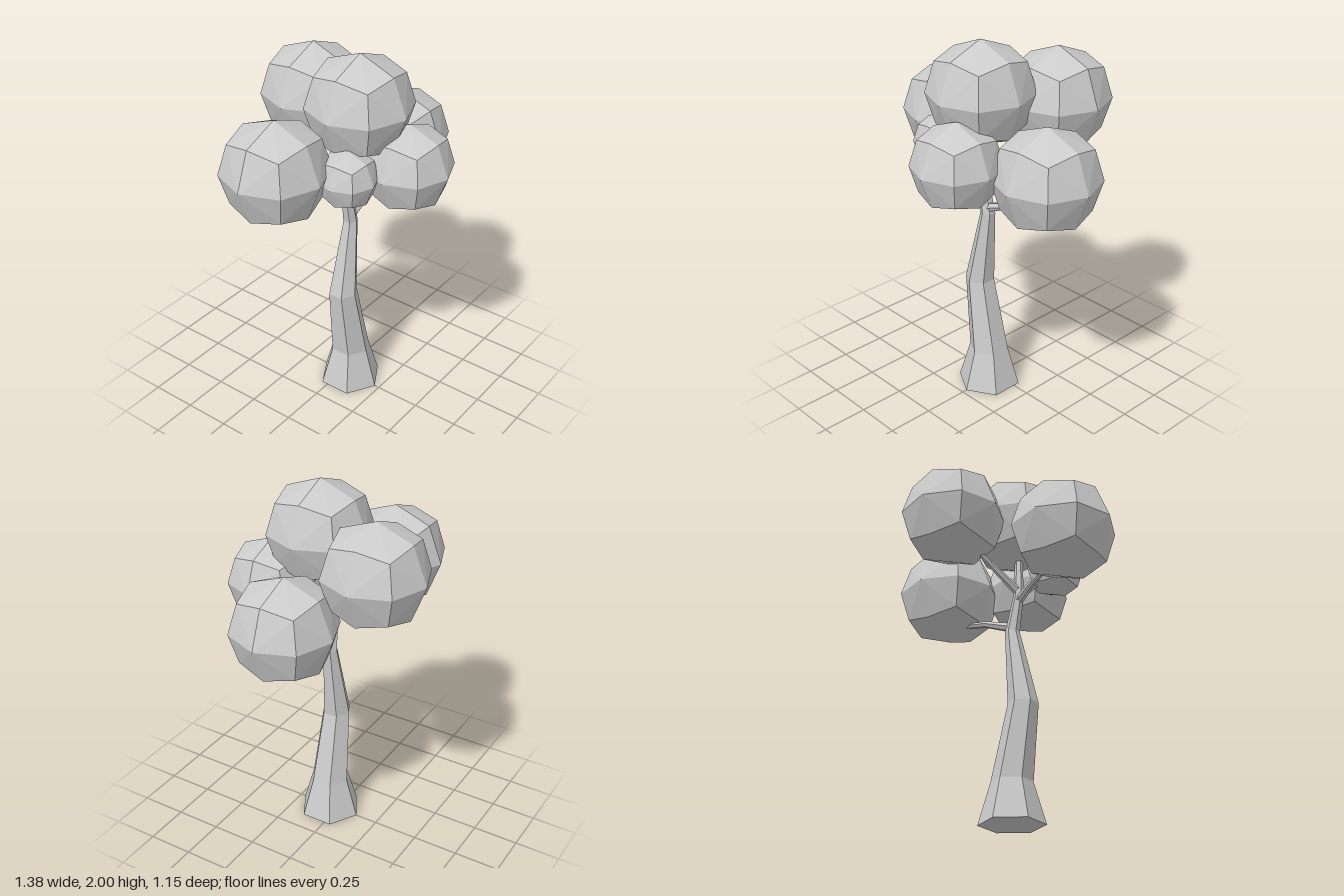
import * as THREE from 'three';
import { ConvexGeometry } from 'three/addons/geometries/ConvexGeometry.js';

const material = new THREE.MeshStandardMaterial({ color: 0xcccccc, flatShading: true });

function addMesh(group, geometry, name) {
  const mesh = new THREE.Mesh(geometry, material);
  mesh.name = name;
  group.add(mesh);
  return mesh;
}

// Six-sided limb through rings [x, y, z, radius], all square to one axis
function limb(rings, axis, sides = 6) {
  const turn = new THREE.Quaternion().setFromUnitVectors(new THREE.Vector3(0, 1, 0), axis);
  const corner = ([x, y, z, r], i) => {
    const a = (i / sides) * Math.PI * 2;
    return new THREE.Vector3(Math.sin(a) * r, 0, Math.cos(a) * r)
      .applyQuaternion(turn).add(new THREE.Vector3(x, y, z));
  };
  const points = [];
  const first = rings[0], last = rings[rings.length - 1];
  for (let i = 0; i < sides; i++) {
    for (let k = 0; k < rings.length - 1; k++) {
      const a = corner(rings[k], i), b = corner(rings[k], i + 1);
      const c = corner(rings[k + 1], i + 1), d = corner(rings[k + 1], i);
      points.push(a, b, c, a, c, d);
    }
    points.push(new THREE.Vector3(...first), corner(first, i + 1), corner(first, i));
    points.push(new THREE.Vector3(...last), corner(last, i), corner(last, i + 1));
  }
  const geometry = new THREE.BufferGeometry().setFromPoints(points);
  geometry.computeVertexNormals();
  return geometry;
}

// Ball made from a cube with 2 x 2 panels per side, rounded out
function foliageBall() {
  const reach = [0, 1, 0.72, 0.59];
  const points = [];
  for (const x of [-1, 0, 1]) for (const y of [-1, 0, 1]) for (const z of [-1, 0, 1]) {
    const n = Math.abs(x) + Math.abs(y) + Math.abs(z);
    if (n) points.push(new THREE.Vector3(x, y, z).multiplyScalar(reach[n]));
  }
  return new ConvexGeometry(points);
}

export function createModel() {
  const tree = new THREE.Group();
  tree.name = 'tree';

  // Bent trunk, flared at the foot and running up into the top ball
  addMesh(tree, limb([
    [0, 0, 0.05, 0.173],
    [0, 0.22, 0.05, 0.109],
    [-0.07, 0.63, 0.05, 0.08],
    [-0.005, 1.05, 0.05, 0.04],
    [-0.045, 1.26, 0.05, 0.028],
    [-0.03, 1.55, 0.08, 0.02],
  ], new THREE.Vector3(0, 1, 0)), 'trunk');

  // Branches reaching into the other balls
  const branches = {
    rightBranch: [[-0.045, 1.23, 0.05, 0.024], [-0.14, 1.285, 0.02, 0.018], [-0.3, 1.33, -0.05, 0.014]],
    leftBranch: [[0, 1.08, 0.05, 0.026], [0.17, 1.145, 0.05, 0.018], [0.33, 1.17, 0.05, 0.014]],
    backBranch: [[-0.04, 1.29, 0.04, 0.024], [0.03, 1.4, -0.08, 0.018], [0.1, 1.52, -0.22, 0.014]],
    frontBranch: [[-0.035, 1.25, 0.06, 0.024], [0.02, 1.31, 0.15, 0.018], [0.07, 1.38, 0.27, 0.014]],
    smallBranch: [[-0.045, 1.26, 0.06, 0.02], [-0.11, 1.33, 0.11, 0.016], [-0.17, 1.39, 0.16, 0.012]],
  };
  for (const [name, rings] of Object.entries(branches)) {
    const axis = new THREE.Vector3(...rings[2]).sub(new THREE.Vector3(...rings[0])).normalize();
    addMesh(tree, limb(rings, axis), name);
  }

  // Foliage balls: x, y, z, radius
  const ball = foliageBall();
  const balls = {
    topFoliage: [0, 1.725, 0.1, 0.275],
    backFoliage: [0.145, 1.64, -0.3, 0.275],
    rightFoliage: [-0.42, 1.477, -0.097, 0.275],
    leftFoliage: [0.415, 1.375, 0.05, 0.275],
    frontFoliage: [0.085, 1.428, 0.34, 0.232],
    smallFoliage: [-0.2, 1.43, 0.178, 0.153],
  };
  for (const [name, [x, y, z, r]] of Object.entries(balls)) {
    const mesh = addMesh(tree, ball, name);
    mesh.position.set(x, y, z);
    mesh.scale.setScalar(r);
  }
  return tree;
}
